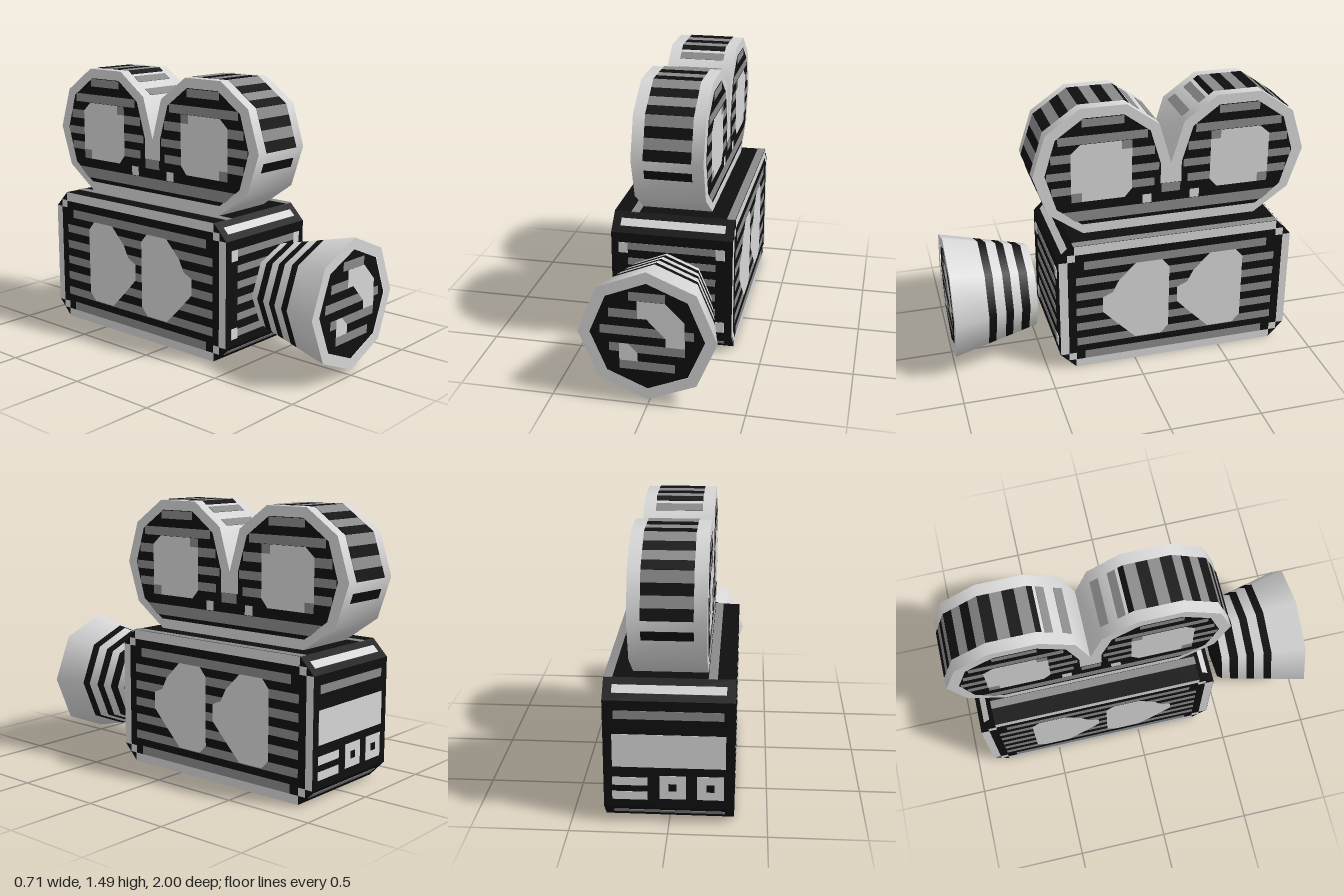
import * as THREE from 'three';
import { toCreasedNormals } from 'three/addons/utils/BufferGeometryUtils.js';

const mat = (name, color) => {
  const m = new THREE.MeshStandardMaterial({ color });
  m.name = name;
  return m;
};

export function createModel() {
  const root = new THREE.Group();
  root.name = 'filmCamera';
  const light = mat('lightGrey', 0xd6d6d6);
  const mid = mat('midGrey', 0x8a8a8a);
  const black = mat('black', 0x0f0f0f);

  const add = (parent, name, geometry, material) => {
    const mesh = new THREE.Mesh(geometry, material);
    mesh.name = name;
    parent.add(mesh);
    return mesh;
  };
  const part = (name) => {
    const g = new THREE.Group();
    g.name = name;
    root.add(g);
    return g;
  };
  const toShape = (pts, sign = 1) => new THREE.Shape(pts.map(([a, b]) => new THREE.Vector2(a * sign, b)));
  const rect = (a0, a1, b0, b1) => [[a0, b0], [a1, b0], [a1, b1], [a0, b1]];

  // solid from a (z, y) outline, centred on x
  const slab = (pts, halfWidth) => {
    const g = new THREE.ExtrudeGeometry(toShape(pts, -1), { depth: 2 * halfWidth, bevelEnabled: false });
    g.translate(0, 0, -halfWidth);
    g.rotateY(Math.PI / 2);
    return g;
  };
  // flat (z, y) detail painted on both sides at x = +-d
  const sides = (parent, name, pts, d, material) => {
    for (const s of [1, -1]) {
      const m = add(parent, name, new THREE.ShapeGeometry(toShape(pts, -s)), material);
      m.rotation.y = s * Math.PI / 2;
      m.position.x = s * d;
    }
  };
  const plate = (parent, name, material, w, h, d, x, y, z, tilt = 0) => {
    const m = add(parent, name, new THREE.BoxGeometry(w, h, d), material);
    m.position.set(x, y, z);
    m.rotation.x = tilt;
    return m;
  };

  // ---- body: box with chamfered ends ----
  const body = part('body');
  const W = 0.33;
  add(body, 'bodyShell', slab([
    [0.342, 0.765], [0.43, 0.675], [0.43, 0.09], [0.342, 0],
    [-0.813, 0], [-0.9, 0.09], [-0.9, 0.675], [-0.813, 0.765],
  ], W), black);

  // side frames
  const d1 = W + 0.002, d2 = W + 0.004;
  for (const r of [[0.38, 0.428, 0.09, 0.675], [-0.9, -0.856, 0.09, 0.675],
    [-0.813, 0.342, 0.713, 0.765], [-0.813, 0.342, 0, 0.048]]) {
    sides(body, 'sideFrame', rect(...r), d1, light);
  }
  for (const z of [0.36, -0.834]) {
    for (const y of [0.07, 0.695]) {
      sides(body, 'frameCorner', rect(z - 0.022, z + 0.022, y - 0.022, y + 0.022), d1, light);
    }
  }
  // side slats and plates
  for (const y of [0.048, 0.617]) sides(body, 'endSlat', rect(-0.76, 0.29, y, y + 0.05), d1, mid);
  for (let i = 0; i < 5; i++) {
    const y = 0.139 + i * 0.0963;
    sides(body, 'sideSlat', rect(-0.81, 0.335, y, y + 0.048), d1, mid);
  }
  const blob = [[0, 0.62], [-0.15, 0.62], [-0.193, 0.57], [-0.193, 0.19], [-0.15, 0.144], [0, 0.144],
    [0.095, 0.24], [0.187, 0.337], [0.187, 0.43], [0.13, 0.455], [0.095, 0.524]];
  for (const dz of [0, -0.428]) sides(body, 'sidePlate', blob.map(([z, y]) => [z + dz, y]), d2, light);

  // top trim
  plate(body, 'topTrim', mid, 0.045, 0.004, 1.16, 0.307, 0.765, -0.235);
  plate(body, 'topTrim', mid, 0.045, 0.004, 1.16, -0.215, 0.765, -0.235);
  // bars on the upper and lower end chamfers
  for (const [z, s] of [[0.386, 1], [-0.8565, -1]]) {
    plate(body, 'upperChamferBar', light, 0.57, 0.004, 0.045, 0, 0.72, z, s * Math.PI / 4);
    plate(body, 'lowerChamferBar', mid, 0.57, 0.004, 0.04, 0, 0.045, z, -s * Math.PI / 4);
  }

  // front panel
  for (let i = 0; i < 6; i++) plate(body, 'frontSlat', mid, 0.48, 0.04, 0.004, 0, 0.16 + i * 0.088, 0.43);
  for (const x of [-0.265, 0.265]) {
    for (const y of [0.16, 0.59]) plate(body, 'frontTab', light, 0.05, 0.06, 0.006, x, y, 0.43);
  }

  // back panel with display and buttons
  plate(body, 'backSlat', mid, 0.55, 0.045, 0.004, 0, 0.6, -0.9);
  plate(body, 'backDisplay', light, 0.57, 0.18, 0.004, 0, 0.405, -0.9);
  for (const y of [0.235, 0.155]) plate(body, 'backBar', light, 0.18, 0.045, 0.004, 0.197, y, -0.9);
  for (const x of [-0.02, -0.21]) {
    plate(body, 'backButton', light, 0.135, 0.13, 0.004, x, 0.205, -0.9);
    plate(body, 'buttonDot', black, 0.04, 0.04, 0.008, x, 0.205, -0.9);
  }

  // underside grille
  for (let i = 0; i < 11; i++) plate(body, 'bottomSlat', mid, 0.44, 0.004, 0.045, 0, 0, -0.71 + i * 0.095);
  for (const x of [-0.29, 0.29]) plate(body, 'bottomTrim', mid, 0.045, 0.004, 1.1, x, 0, -0.235);

  // ---- film magazine: two joined reels ----
  const magazine = part('filmMagazine');
  const M = 0.19, flip = (z) => -0.474 - z;
  const mirrored = (pts) => pts.map(([z, y]) => [flip(z), y]).reverse();
  const half = [[0.257, 0.765], [0.45, 0.902], [0.525, 1.127], [0.452, 1.355], [0.263, 1.487], [0.012, 1.487], [-0.168, 1.357]];
  const outline = [...half, [-0.237, 1.125], ...mirrored(half)];
  add(magazine, 'magazineShell', toCreasedNormals(slab(outline, M), 0.9), light);

  // inset side panel
  const inner = [[0.262, 0.82], [0.4, 0.925], [0.46, 1.128], [0.4, 1.325], [0.246, 1.433], [0.027, 1.433],
    [-0.118, 1.326], [-0.178, 1.128], [-0.178, 1.01]];
  sides(magazine, 'magazinePanel', [...inner, ...mirrored(inner)], M + 0.002, black);
  sides(magazine, 'lowerSlat', [[0.3, 0.842], [0.37, 0.903], [flip(0.37), 0.903], [flip(0.3), 0.842]], M + 0.004, mid);
  sides(magazine, 'centreBlock', rect(-0.29, -0.183, 0.957, 1.01), M + 0.004, mid);

  const slats = [[1.385, 1.43, 0.115], [1.29, 1.338, 0.245], [1.19, 1.24, 0.285], [1.095, 1.14, 0.31], [1.005, 1.052, 0.285]];
  const hub = [[0.32, 1.24], [0.265, 1.289], [0.04, 1.289], [0.04, 1.24], [-0.016, 1.24], [-0.016, 1.005],
    [0.025, 0.957], [0.262, 0.957], [0.262, 1.01], [0.32, 1.01]];
  const hubCorners = [rect(-0.016, 0.04, 1.24, 1.289), rect(0.262, 0.32, 0.957, 1.01)];
  const gap = rect(-0.128, -0.075, 0.905, 0.957);
  for (const map of [(p) => p, mirrored]) {
    for (const [y0, y1, w] of slats) sides(magazine, 'reelSlat', map(rect(0.142 - w, 0.142 + w, y0, y1)), M + 0.004, mid);
    sides(magazine, 'reelHub', map(hub), M + 0.006, light);
    for (const c of hubCorners) sides(magazine, 'hubCorner', map(c), M + 0.006, mid);
    sides(magazine, 'panelGap', map(gap), M + 0.004, light);
  }

  // bars across the rim, from t0 to t1 along the outline edge p-q
  const rimBar = (p, q, t0, t1, material) => {
    const dz = q[0] - p[0], dy = q[1] - p[1], t = (t0 + t1) / 2;
    plate(magazine, 'rimBar', material, 0.252, 0.006, Math.hypot(dz, dy) * (t1 - t0),
      0, p[1] + dy * t, p[0] + dz * t, Math.atan2(-dy, dz));
  };
  for (const map of [(p) => p, ([z, y]) => [flip(z), y]]) {
    const h = half.map(map);
    rimBar(h[1], h[2], 0.52, 0.74, black);
    for (let s = 2; s < 5; s++) {
      for (let i = 0; i < 4; i++) rimBar(h[s], h[s + 1], i / 4, (i + 1) / 4, i % 2 ? mid : black);
    }
    rimBar(h[5], h[6], 0, 0.15, black);
    rimBar(h[5], h[6], 0.24, 0.46, mid);
    rimBar(h[5], h[6], 0.73, 0.97, mid);
  }

  // ---- lens: eight-sided cone with dark bands ----
  const lens = part('lens');
  lens.position.y = 0.383;
  const radius = (z) => 0.24 + (z - 0.53) * 0.245;
  const cuts = [0.53, 0.574, 0.622, 0.67, 0.713, 0.767, 0.81, 1];
  for (let i = 0; i < cuts.length - 1; i++) {
    const [a, b] = [cuts[i], cuts[i + 1]];
    const g = new THREE.CylinderGeometry(radius(b), radius(a), b - a, 8, 1, true);
    g.rotateX(Math.PI / 2);
    g.translate(0, 0, (a + b) / 2);
    add(lens, i % 2 ? 'lensBand' : 'lensBarrel', g, i % 2 ? black : light);
  }
  add(lens, 'lensBack', new THREE.CircleGeometry(0.24, 8).rotateY(Math.PI).translate(0, 0, 0.53), black);
  add(lens, 'lensRim', new THREE.RingGeometry(0.293, 0.355, 8).translate(0, 0, 0.9995), light);
  add(lens, 'lensGlass', new THREE.CircleGeometry(0.293, 8).translate(0, 0, 0.9955), black);

  // glints on the glass
  const glint = (pts, z, material) => add(lens, 'lensGlint', new THREE.ShapeGeometry(toShape(pts)).translate(0, 0, z), material);
  for (const [x0, x1, y] of [[-0.09, 0.095, 0.193], [-0.193, -0.035, 0.095], [-0.24, 0.237, 0], [-0.193, 0.193, -0.095], [-0.142, 0.142, -0.19]]) {
    glint(rect(x0, x1, y, y + 0.048), 0.9975, mid);
  }
  glint([[-0.047, 0.193], [0.095, 0.193], [0.19, 0.098], [0.193, -0.047], [0.095, -0.047], [0.095, 0], [0, 0.098], [-0.047, 0.098]], 0.999, light);
  glint([[-0.142, -0.047], [-0.095, -0.047], [-0.047, -0.095], [-0.047, -0.142], [-0.142, -0.142]], 0.999, light);

  return root;
}
